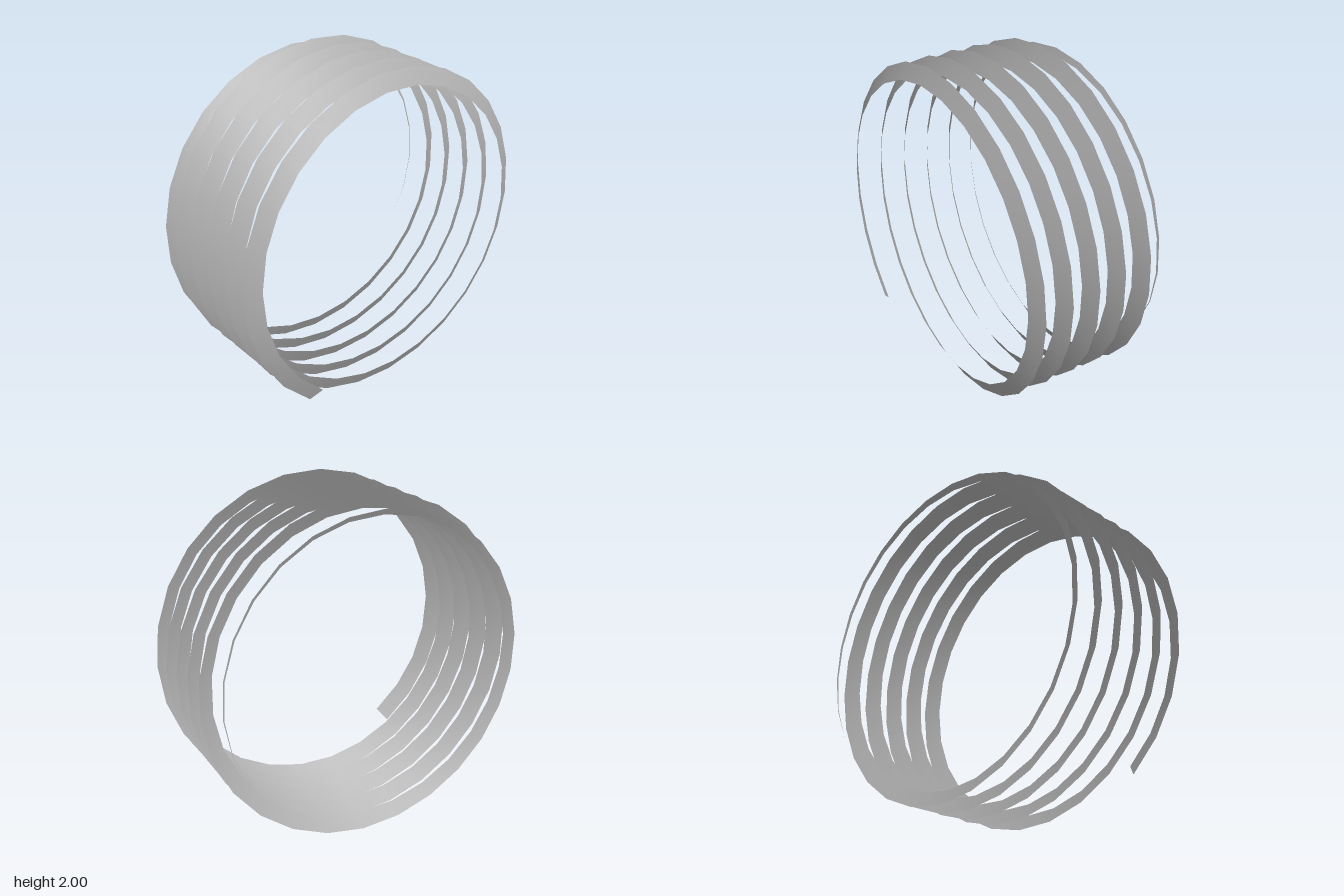
import * as THREE from 'three';

// Tapered helical ribbon winding around the x axis
const SWEEP = 36, STEPS = 150;
const START = -0.532;          // angle measured from the back, rising over the top
const INNER = 0.91, SLANT_R = 0.09, SLANT_X = 0.05;
const HALF_LENGTH = 0.483, TAPER = 5.4;

function createRibbon() {
  const positions = [], indices = [];
  for (let i = 0; i <= STEPS; i++) {
    const t = i / STEPS, turn = t * SWEEP, angle = START + turn;
    const width = Math.min(1, turn / TAPER); // grows from a point to full width
    const x = -HALF_LENGTH + 2 * HALF_LENGTH * t;
    for (const w of [0, width]) {
      const r = INNER + SLANT_R * w;
      positions.push(x - SLANT_X * w, 1 + r * Math.sin(angle), -r * Math.cos(angle));
    }
    if (i < STEPS) {
      const a = 2 * i;
      indices.push(a, a + 1, a + 2, a + 1, a + 3, a + 2);
    }
  }
  const geometry = new THREE.BufferGeometry();
  geometry.setAttribute('position', new THREE.Float32BufferAttribute(positions, 3));
  geometry.setIndex(indices);
  geometry.computeVertexNormals();
  return geometry;
}

export function createModel() {
  const group = new THREE.Group();
  group.name = 'coil';
  const grey = new THREE.MeshStandardMaterial({ color: 0xb0b0b0, side: THREE.DoubleSide });
  grey.name = 'grey';
  const ribbon = new THREE.Mesh(createRibbon(), grey);
  ribbon.name = 'helicalRibbon';
  group.add(ribbon);
  return group;
}
